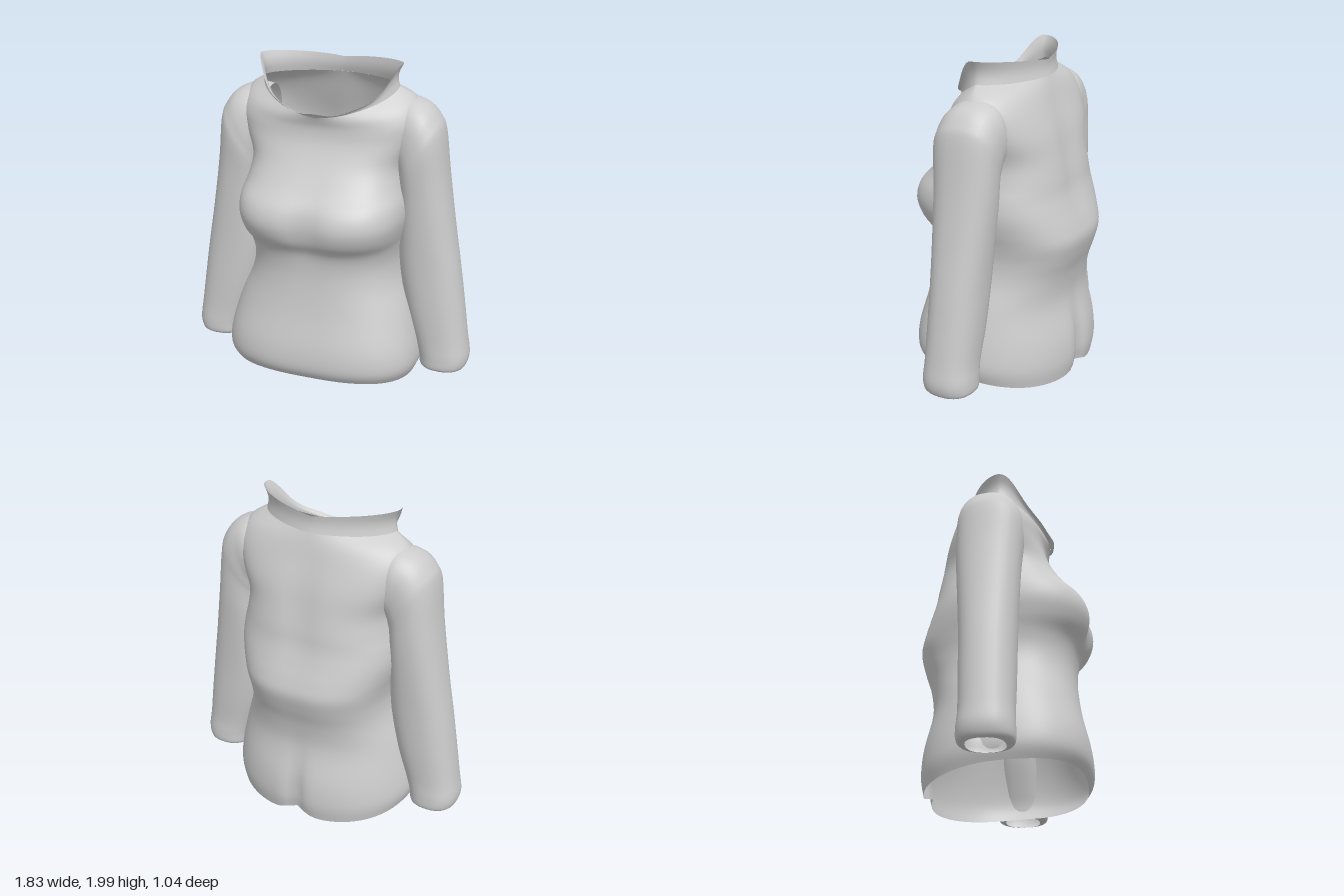
import * as THREE from 'three';

const fabric = new THREE.MeshStandardMaterial({ color: 0xcccccc, side: THREE.DoubleSide });
fabric.name = 'grey fabric';

// Smoothly subdivide a list of sections (rows of numbers).
function refine(rows, steps) {
  const out = [];
  for (let i = 0; i < rows.length - 1; i++) {
    const a = rows[Math.max(i - 1, 0)], b = rows[i], c = rows[i + 1], d = rows[Math.min(i + 2, rows.length - 1)];
    for (let k = 0; k < steps; k++) {
      const t = k / steps;
      out.push(b.map((v, j) => v + 0.5 * t * (c[j] - a[j] + t * (2 * a[j] - 5 * v + 4 * c[j] - d[j]
        + t * (3 * (v - c[j]) + d[j] - a[j])))));
    }
  }
  out.push(rows[rows.length - 1]);
  return out;
}

// Skin closed rings; point(section, angle) gives [x, y, z].
function loft(name, sections, sides, point) {
  const pos = [], idx = [];
  sections.forEach((s, r) => {
    for (let i = 0; i < sides; i++) {
      pos.push(...point(s, (i / sides) * Math.PI * 2));
      if (r === 0) continue;
      const j = (i + 1) % sides, p = (r - 1) * sides, q = r * sides;
      idx.push(p + i, q + i, p + j, p + j, q + i, q + j);
    }
  });
  const g = new THREE.BufferGeometry();
  g.setAttribute('position', new THREE.Float32BufferAttribute(pos, 3));
  g.setIndex(idx);
  g.computeVertexNormals();
  const mesh = new THREE.Mesh(g, fabric);
  mesh.name = name;
  return mesh;
}

const power = (v, p) => Math.sign(v) * Math.abs(v) ** p;
const bump = (v, centre, width) => Math.exp(-(((v - centre) / width) ** 2));

// Rows: front y, side y, back y, half width, front z, back z,
// front squareness, back squareness, z of the widest point
const TORSO = [
  [0.10, 0.07, 0.005, 0.585, 0.47, -0.48, 0.75, 0.85, 0.05],
  [0.17, 0.16, 0.12, 0.615, 0.505, -0.50, 0.75, 0.88, 0.07],
  [0.30, 0.30, 0.28, 0.60, 0.50, -0.49, 0.75, 0.9, 0.07],
  [0.50, 0.50, 0.50, 0.545, 0.455, -0.44, 0.78, 0.88, 0.04],
  [0.67, 0.67, 0.67, 0.475, 0.43, -0.455, 0.78, 0.8, 0.01],
  [0.80, 0.80, 0.80, 0.455, 0.425, -0.495, 0.78, 0.76, 0],
  [0.91, 0.91, 0.91, 0.47, 0.445, -0.52, 0.75, 0.75, 0],
  [1.00, 1.00, 1.00, 0.495, 0.505, -0.50, 0.68, 0.75, 0],
  [1.10, 1.10, 1.10, 0.515, 0.53, -0.465, 0.65, 0.75, 0],
  [1.20, 1.20, 1.20, 0.51, 0.50, -0.435, 0.66, 0.75, 0],
  [1.30, 1.30, 1.30, 0.485, 0.41, -0.42, 0.7, 0.75, -0.01],
  [1.42, 1.42, 1.42, 0.475, 0.325, -0.395, 0.72, 0.75, -0.02],
  [1.54, 1.57, 1.56, 0.53, 0.265, -0.36, 0.72, 0.75, -0.03],
  [1.63, 1.70, 1.70, 0.56, 0.25, -0.31, 0.78, 0.82, -0.04],
  [1.685, 1.80, 1.80, 0.52, 0.262, -0.275, 0.95, 0.98, -0.03],
  [1.715, 1.865, 1.86, 0.425, 0.275, -0.25, 1.2, 1.2, 0]
];

function torsoPoint([yf, ys, yb, w, zf, zb, pf, pb, zc], a) {
  const c = Math.cos(a), s = Math.sin(a), front = s > 0;
  const p = front ? pf : pb, depth = Math.abs(s);
  const x = w * power(c, p);
  let y = ys + ((front ? yf : yb) - ys) * depth ** 1.2;
  let z = zc + depth ** p * ((front ? zf : zb) - zc);
  // valley down the chest, cleft at the seat and groove along the spine
  if (front) z -= depth * 0.035 * bump(x, 0, 0.1) * bump(y, 1.1, 0.16);
  else {
    z += depth * (0.045 * bump(x, 0, 0.05) * bump(y, 0.15, 0.25) + 0.02 * bump(x, 0, 0.1) * bump(y, 1.4, 0.3));
    y += 0.04 * bump(x, 0, 0.1) * bump(y, 0, 0.1);
  }
  return [x, y, z];
}

// Rows: outer x, outer y, inner x, inner y, centre z, half depth
const SLEEVE = [
  [0.40, 1.79, 0.39, 1.45, -0.06, 0.13],
  [0.50, 1.80, 0.42, 1.40, -0.05, 0.18],
  [0.60, 1.765, 0.435, 1.36, -0.035, 0.195],
  [0.665, 1.695, 0.44, 1.32, -0.03, 0.20],
  [0.70, 1.61, 0.445, 1.27, -0.025, 0.20],
  [0.733, 1.35, 0.45, 1.14, -0.03, 0.19],
  [0.788, 1.00, 0.45, 0.95, -0.025, 0.175],
  [0.832, 0.75, 0.46, 0.74, -0.02, 0.165],
  [0.87, 0.50, 0.51, 0.48, -0.015, 0.16],
  [0.898, 0.30, 0.57, 0.28, -0.01, 0.155],
  [0.915, 0.18, 0.60, 0.18, -0.01, 0.16],
  [0.90, 0.11, 0.61, 0.11, -0.01, 0.155],
  [0.875, 0.095, 0.635, 0.095, -0.01, 0.11]
];

// Collar rows: 0 at the neckline, 1 at the free edge
function collarPoint([h], a) {
  const c = Math.cos(a), s = Math.sin(a), depth = power(s, 1.2);
  const f = THREE.MathUtils.smoothstep(s, 0.1, 0.8);
  const base = 1.865 - (s > 0 ? 0.155 : 0.005) * Math.abs(s) ** 1.2;
  const rise = (1.955 + 0.045 * Math.abs(c) - base) * (1 - f) + 0.02 * f;
  const ripple = 0.008 * Math.sin(a * 9) * h * f;
  const roll = 0.02 * Math.sin(h * Math.PI);
  return [
    power(c, 1.2) * (0.425 + 0.02 * h - roll),
    base + rise * h + ripple,
    depth * (s > 0 ? 0.275 + 0.025 * h : 0.25 - 0.012 * h - roll * 0.4)
  ];
}

export function createModel() {
  const model = new THREE.Group();
  model.name = 'sweater';
  model.add(loft('torso', refine(TORSO, 4), 96, torsoPoint));

  // Long sleeves, one on each side
  for (const side of [1, -1]) {
    model.add(loft(side > 0 ? 'leftSleeve' : 'rightSleeve', refine(SLEEVE, 4), 32,
      ([ox, oy, ix, iy, zc, rz], a) => {
        const k = (1 + power(Math.cos(a), 0.85)) / 2;
        return [side * (ix + (ox - ix) * k), iy + (oy - iy) * k, zc - side * rz * power(Math.sin(a), 0.85)];
      }));
  }

  // Standing collar, tall at the back and dipping at the front
  model.add(loft('collar', [0, 0.25, 0.5, 0.75, 1].map((h) => [h]), 96, collarPoint));
  return model;
}
